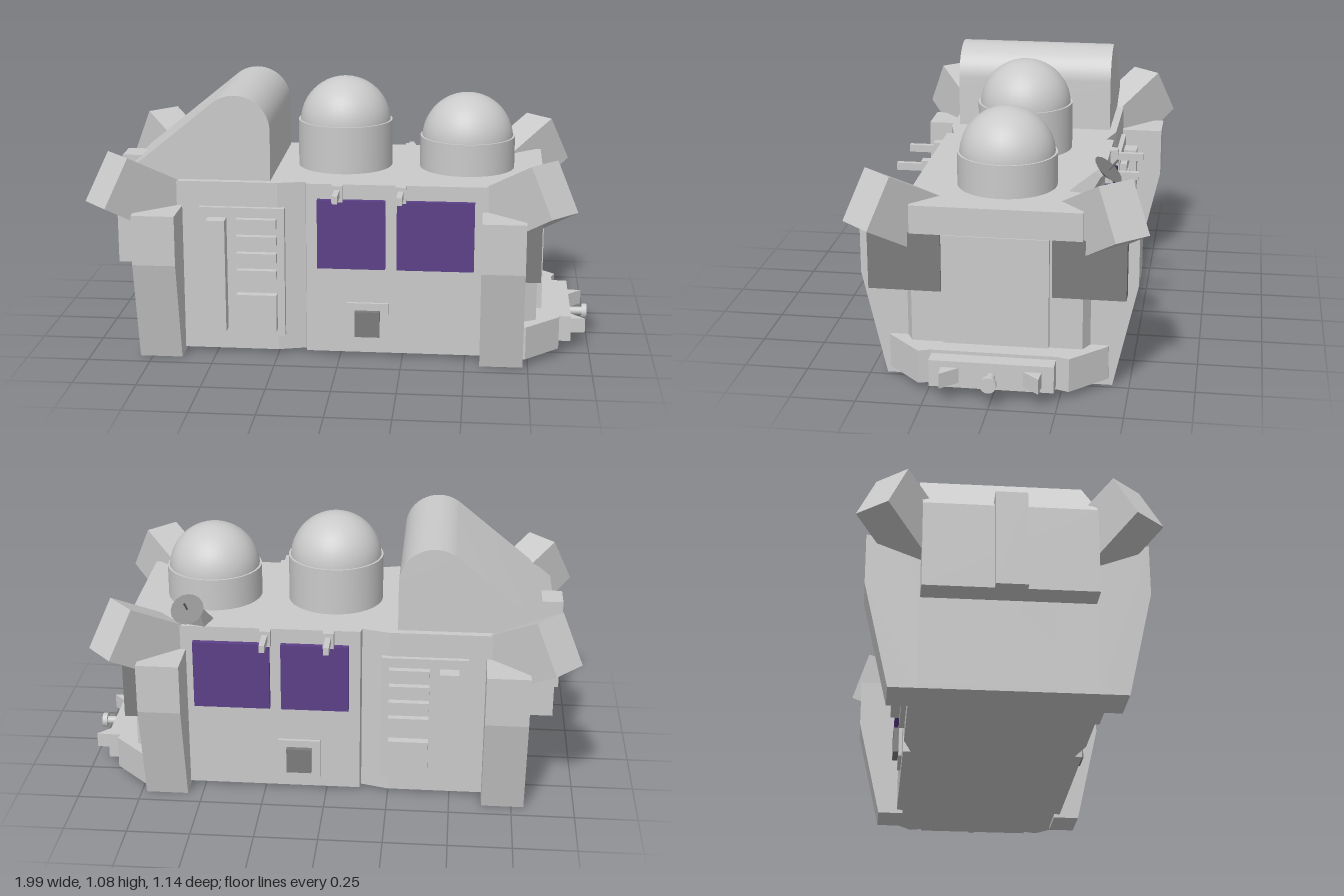
import * as THREE from 'three';
import { toCreasedNormals } from 'three/addons/utils/BufferGeometryUtils.js';

export function createModel() {
  const root = new THREE.Group();
  const mat = (name, color) => Object.assign(new THREE.MeshStandardMaterial({ color }), { name });
  const hull = mat('light grey', 0xcacaca);
  const dark = mat('dark grey', 0x7c7c7c);
  const purple = mat('purple', 0x5c4088);

  const add = (name, geo, material = hull, parent = root) => {
    const m = new THREE.Mesh(geo, material);
    m.name = name;
    parent.add(m);
    return m;
  };
  // Box given by its limits on each axis
  const box = (name, x0, x1, y0, y1, z0, z1, material = hull) => {
    const m = add(name, new THREE.BoxGeometry(x1 - x0, y1 - y0, Math.abs(z1 - z0)), material);
    m.position.set((x0 + x1) / 2, (y0 + y1) / 2, (z0 + z1) / 2);
    return m;
  };
  const shapeOf = pts => new THREE.Shape(pts.map(p => new THREE.Vector2(...p)));
  const extrude = (shape, depth) =>
    new THREE.ExtrudeGeometry(shape, { depth, bevelEnabled: false, curveSegments: 16 });
  // Plan outline, given for z > 0 and mirrored, raised from y0 to y1
  const plan = (name, half, y0, y1) => {
    const pts = [...half, ...half.map(([x, z]) => [x, -z]).reverse()];
    const g = extrude(shapeOf(pts), y1 - y0).rotateX(-Math.PI / 2).translate(0, y0, 0);
    return add(name, g);
  };

  // Main hull with a shallow recess on each side
  plan('body', [[-0.8, 0.33], [-0.66, 0.355], [-0.25, 0.355], [-0.14, 0.325],
    [-0.135, 0.355], [0.72, 0.355], [0.78, 0.325]], 0.015, 0.71);
  box('endBase', -0.8, -0.63, 0, 0.6, -0.36, 0.36);
  box('endBand', 0.7, 0.8, 0.6, 0.71, -0.325, 0.325);
  box('endPanel', 0.7, 0.805, 0.17, 0.6, -0.2, 0.2);

  // Rounded roof housing overhanging the end
  const roof = new THREE.Shape();
  roof.moveTo(-0.9, 0.36);
  roof.lineTo(-0.28, 0.36);
  roof.lineTo(-0.28, 0.91);
  roof.absarc(-0.42, 0.91, 0.14, 0, Math.PI * 0.7, false);
  roof.lineTo(-0.9, 0.7);
  roof.closePath();
  add('roofHousing', toCreasedNormals(extrude(roof, 0.65).translate(0, 0, -0.325), 0.5));
  box('endBar', -0.935, -0.85, 0.36, 0.74, -0.06, 0.06);

  // Domed turrets
  for (const [x, top] of [[-0.01, 0.9], [0.49, 0.84]]) {
    const c = add('domeBase', new THREE.CylinderGeometry(0.193, 0.193, top - 0.69, 32));
    c.position.set(x, (top + 0.69) / 2, 0);
    const d = add('dome', new THREE.SphereGeometry(0.185, 32, 14, 0, Math.PI * 2, 0, Math.PI / 2));
    d.position.set(x, top - 0.01, 0);
  }

  // Corner legs and tilted corner pods
  const legShape = shapeOf([[0.33, 0], [0.435, 0], [0.528, 0.41], [0.528, 0.61], [0.33, 0.61]]);
  const legGeo = extrude(legShape, 0.17).translate(0, 0, -0.085).rotateY(-Math.PI / 2);
  const podShape = shapeOf([[-0.04, 0.69], [0.06, 0.49], [0.332, 0.645], [0.225, 0.832]]);
  const podGeo = extrude(podShape, 0.155).translate(0, 0, -0.0775);
  for (const sx of [-1, 1]) for (const sz of [-1, 1]) {
    const leg = add('leg', legGeo);
    leg.position.x = -0.035 + sx * 0.68;
    leg.rotation.y = sz > 0 ? 0 : Math.PI;
    const pod = add('cornerPod', podGeo);
    pod.position.set(-0.035 + sx * 0.66, 0, sz * 0.29);
    pod.rotation.y = -Math.atan2(sz * 0.667, sx * 0.745);
  }

  // Matching equipment on both long sides
  for (const s of [1, -1]) {
    const side = (name, x0, x1, y0, y1, z, m) => box(name, x0, x1, y0, y1, s * 0.32, s * z, m);
    side('servicePanel', -0.56, -0.22, 0.08, 0.61, 0.375);
    side('serviceBar', -0.525, -0.45, 0.11, 0.57, 0.43);
    side('serviceBox', -0.41, -0.25, 0.11, 0.26, 0.41);
    for (let i = 0; i < 4; i++) side('slat', -0.41, -0.25, 0.322 + i * 0.07, 0.36 + i * 0.07, 0.403);
    side('window', -0.09, 0.18, 0.37, 0.65, 0.378, purple);
    side('window', 0.225, 0.53, 0.37, 0.65, 0.378, purple);
    side('hatchFrame', 0.025, 0.195, 0.06, 0.225, 0.368);
    side('hatch', 0.06, 0.16, 0.09, 0.195, 0.39, dark);
    for (const x of [-0.01, 0.24]) {
      side('bracketPlate', x - 0.022, x + 0.022, 0.645, 0.71, 0.385);
      side('bracketArm', x - 0.011, x + 0.011, 0.665, 0.695, 0.487);
    }
    box('endLocker', 0.68, 0.79, 0.37, 0.6, s * 0.21, s * 0.487, dark);

    // Bumper lamps: small wedges
    const wedge = shapeOf([[0.91, -s * 0.19], [0.985, -s * 0.185], [0.91, -s * 0.105]]);
    add('bumperWedge', extrude(wedge, 0.06).rotateX(-Math.PI / 2).translate(0, 0.065, 0));
  }

  // Bumper with angled wings
  plan('bumper', [[0.7, 0.42], [0.74, 0.42], [0.875, 0.285], [0.86, 0.24]], 0.03, 0.163);
  box('bumperPlate', 0.8, 0.925, 0.045, 0.15, -0.235, 0.235);
  const nozzle = add('nozzle', new THREE.CylinderGeometry(0.017, 0.017, 0.08, 16));
  nozzle.position.set(0.95, 0.095, 0);
  nozzle.rotation.z = -Math.PI / 2;
  const tip = add('nozzleTip', new THREE.CylinderGeometry(0.031, 0.031, 0.02, 16));
  tip.position.set(0.989, 0.095, 0);
  tip.rotation.z = -Math.PI / 2;

  // Dish antenna on a sloping mount
  const mountShape = shapeOf([[0, 0.69], [0.1, 0.69], [0.15, 0.78], [0.13, 0.8]]);
  const mount = add('dishMount', extrude(mountShape, 0.1).translate(0, 0, -0.05));
  mount.position.set(0.5, 0, -0.235);
  mount.rotation.y = 1.3;
  const dish = new THREE.Group();
  dish.name = 'dish';
  dish.position.set(0.54, 0.79, -0.385);
  dish.quaternion.setFromUnitVectors(new THREE.Vector3(0, 1, 0), new THREE.Vector3(0.1, 0.75, -0.65).normalize());
  root.add(dish);
  add('dishBowl', new THREE.CylinderGeometry(0.066, 0.025, 0.02, 16), dark, dish);
  const feed = add('dishFeed', new THREE.CylinderGeometry(0.004, 0.004, 0.06, 6), dark, dish);
  feed.position.y = 0.035;

  return root;
}
